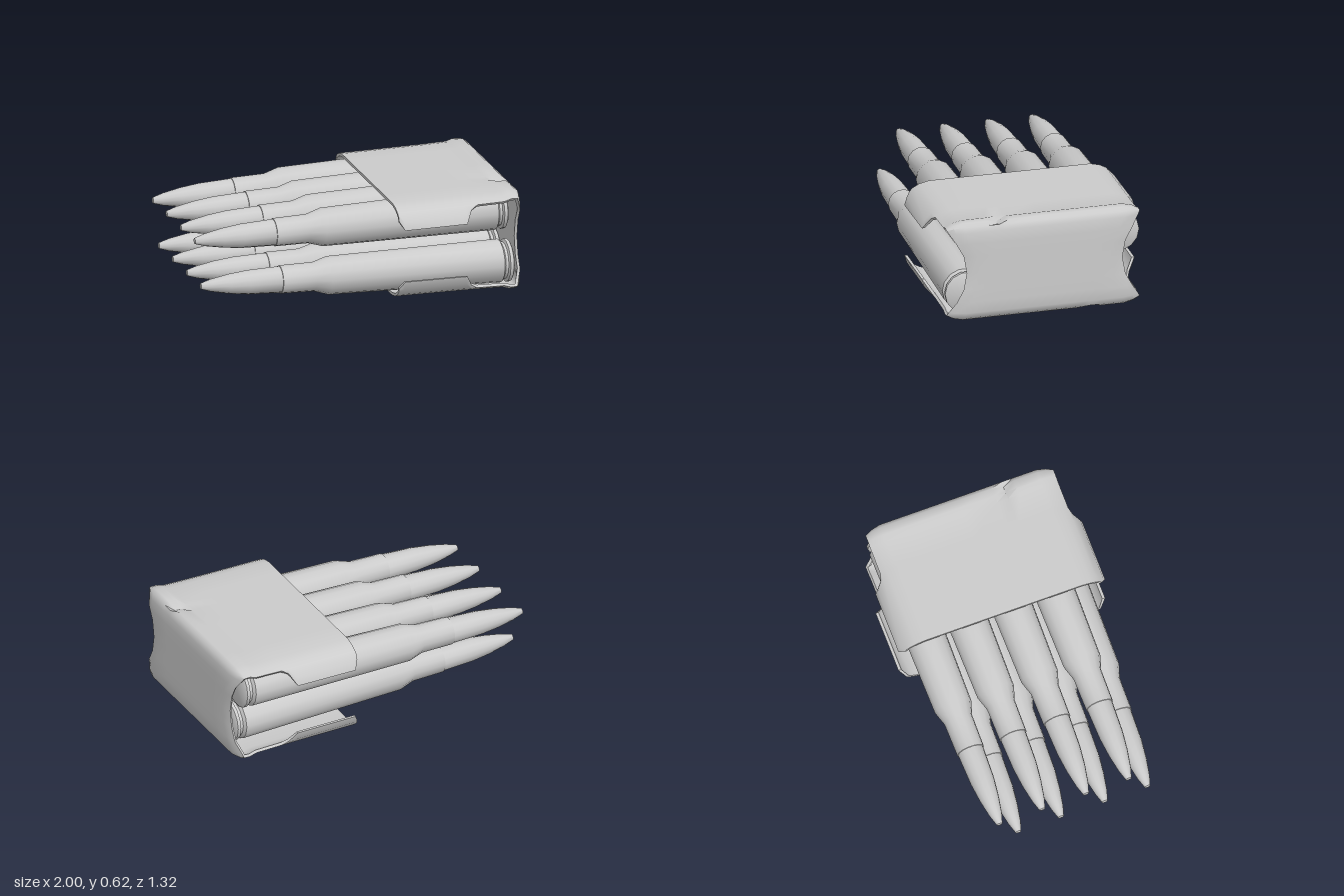
import * as THREE from 'three';
import { toCreasedNormals } from 'three/addons/utils/BufferGeometryUtils.js';

const HEIGHT = 0.625;

// Upper half of the clip's bent profile: x, y, half width, lip amount, notch depth
const HALF = [
  [0.2, 0.603, 0.6, 0.45, 0], [0.23, 0.604, 0.6, 1, 0], [0.62, 0.607, 0.6, 1, 0],
  [0.66, 0.608, 0.6, 0.25, 0], [0.7, 0.608, 0.6, 0, 0], [0.87, 0.612, 0.6, 0, 0],
  [0.91, 0.625, 0.6, 0, 0.03], [0.96, 0.623, 0.6, 0, 0.03], [0.985, 0.605, 0.598, 0, 0],
  [0.997, 0.57, 0.587, 0, 0], [1, 0.5, 0.545, 0, 0], [1, 0.42, 0.502, 0, 0], [1, 0.3125, 0.483, 0, 0],
];

// Columns across the width: z, inward drop, and the inward / sideways thickness direction
const EDGE = [
  [0.35, 0, 1, 0], [0.5, 0, 1, 0], [0.56, 0.014, 0.9, 0.4], [0.6, 0.035, 0.8, 0.6],
  [0.645, 0.08, 0.3, 0.95], [0.66, 0.13, 0, 1],
];
const CORE = [-0.28, -0.21, 0, 0.21, 0.28].map((z) => [z, 0, 1, 0]);
const COLUMNS = [
  ...EDGE.map(([z, d, a, b]) => [-z, d, a, -b]).reverse(), ...CORE, ...EDGE,
];

function clipGeometry() {
  const thickness = 0.018;
  const rows = [
    ...HALF.map((r) => [...r, 1]),
    ...HALF.slice(0, -1).reverse().map(([x, y, w, l, n]) => [x, HEIGHT - y, w, l, n, -1]),
  ];
  const I = rows.length, J = COLUMNS.length;
  const outer = [], inner = [];
  rows.forEach(([x, y, w, lip, notch, side], i) => {
    const p = rows[Math.max(i - 1, 0)], q = rows[Math.min(i + 1, I - 1)];
    const len = Math.hypot(q[0] - p[0], q[1] - p[1]);
    const nx = -(q[1] - p[1]) / len, ny = (q[0] - p[0]) / len;
    for (const col of COLUMNS) {
      let [z, drop, a, b] = col;
      const s = Math.sign(z);
      if (Math.abs(z) > 0.6) { // lips shrink back to the plate edge
        const k = THREE.MathUtils.lerp;
        z = s * k(0.6, Math.abs(z), lip);
        drop = k(0.035, drop, lip);
        a = k(0.8, a, lip);
        b = k(0.6 * s, b, lip);
      }
      if (w < 0.55) drop *= 0.35;
      if (Math.abs(z - side * 0.28) < 0.01) drop += notch;
      z *= w / 0.6;
      const px = x - nx * drop, py = y - ny * drop;
      outer.push(px, py, z);
      inner.push(px - nx * a * thickness, py - ny * a * thickness, z - b * thickness);
    }
  });
  const o = (i, j) => i * J + j, n = (i, j) => I * J + i * J + j;
  const index = [];
  const quad = (a, b, c, d) => index.push(a, b, c, a, c, d);
  for (let i = 0; i < I - 1; i++) {
    for (let j = 0; j < J - 1; j++) {
      quad(o(i, j), o(i, j + 1), o(i + 1, j + 1), o(i + 1, j));
      quad(n(i, j), n(i + 1, j), n(i + 1, j + 1), n(i, j + 1));
    }
    quad(o(i, J - 1), n(i, J - 1), n(i + 1, J - 1), o(i + 1, J - 1));
    quad(o(i, 0), o(i + 1, 0), n(i + 1, 0), n(i, 0));
  }
  for (let j = 0; j < J - 1; j++) {
    quad(n(0, j), n(0, j + 1), o(0, j + 1), o(0, j));
    quad(o(I - 1, j), o(I - 1, j + 1), n(I - 1, j + 1), n(I - 1, j));
  }
  const g = new THREE.BufferGeometry();
  g.setAttribute('position', new THREE.Float32BufferAttribute([...outer, ...inner], 3));
  g.setIndex(index);
  return toCreasedNormals(g, 0.75);
}

// Turned body from tip to rim: position along the axis, radius
function cartridgeGeometry() {
  const profile = [
    [-1, 0], [-0.995, 0.018], [-0.93, 0.038], [-0.82, 0.059], [-0.7, 0.073], [-0.5, 0.08],
    [-0.499, 0.085], [-0.29, 0.088], [-0.2, 0.116], [0.875, 0.132], [0.888, 0.112],
    [0.905, 0.112], [0.912, 0.13], [0.932, 0.13], [0.94, 0.117], [0.94, 0],
  ].map(([x, r]) => new THREE.Vector2(r, x));
  const g = new THREE.LatheGeometry(profile, 14);
  g.rotateZ(-Math.PI / 2);
  return toCreasedNormals(g, 0.7);
}

export function createModel() {
  const model = new THREE.Group();
  const material = new THREE.MeshStandardMaterial({ color: 0xcccccc });

  const clip = new THREE.Mesh(clipGeometry(), material);
  clip.name = 'clip';
  model.add(clip);

  // Two staggered rows, the lower one turned half around the long axis
  const geometry = cartridgeGeometry();
  for (const side of [1, -1]) {
    const row = new THREE.Group();
    row.name = side > 0 ? 'upperRow' : 'lowerRow';
    for (const z of [-0.472, -0.2, 0.08, 0.352]) {
      const cartridge = new THREE.Mesh(geometry, material);
      cartridge.name = 'cartridge';
      cartridge.position.set(0, HEIGHT / 2 + side * 0.136, side * z);
      cartridge.rotation.z = side * 0.0124;
      row.add(cartridge);
    }
    model.add(row);
  }
  return model;
}
